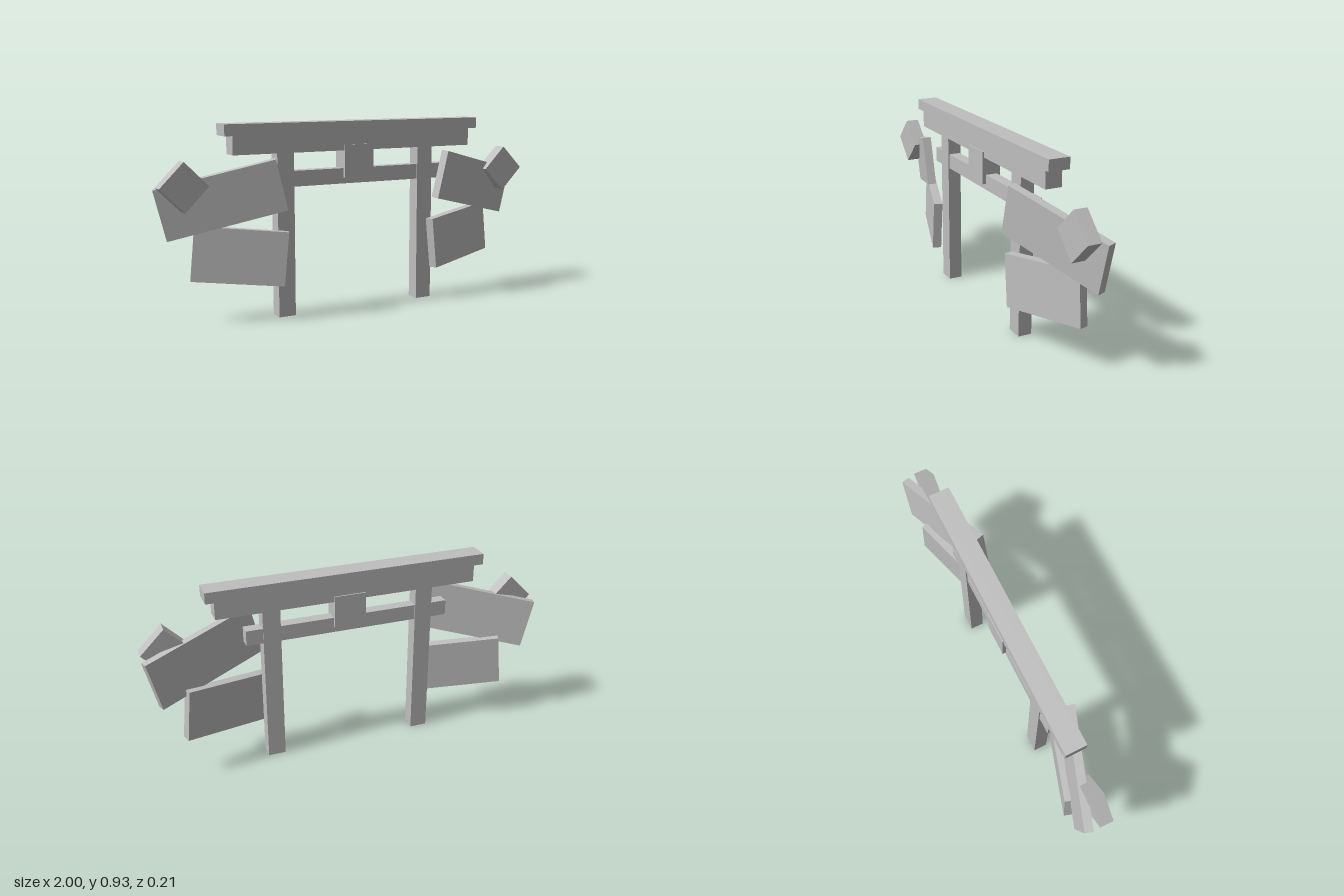
import * as THREE from 'three';

const stone = new THREE.MeshStandardMaterial({ color: 0xbfbfbf });
stone.name = 'plain grey';

// Box given by its size and centre
function block(name, [w, h, d], [x, y, z]) {
  const mesh = new THREE.Mesh(new THREE.BoxGeometry(w, h, d), stone);
  mesh.name = name;
  mesh.position.set(x, y, z);
  return mesh;
}

export function createModel() {
  const model = new THREE.Group();
  model.name = 'gateWithPanels';
  const gateZ = -0.0135;

  // Gate beams and centre plaque
  model.add(
    block('topBeam', [1.384, 0.054, 0.104], [0, 0.902, gateZ]),
    block('lintel', [1.3, 0.088, 0.081], [0, 0.831, gateZ]),
    block('tieBeam', [1.02, 0.075, 0.058], [0, 0.6625, gateZ]),
    block('plaque', [0.157, 0.16, 0.094], [0, 0.735, gateZ]),
  );

  for (const side of [1, -1]) {
    const name = side > 0 ? 'left' : 'right';

    // Post
    model.add(block(name + 'Post', [0.086, 0.787, 0.069], [side * 0.386, 0.3935, gateZ]));

    // Side panels: swept back, then tilted in the front plane
    const upper = block(name + 'UpperPanel', [0.568, 0.245, 0.042], [side * 0.7, 0.585, 0.0015]);
    upper.rotation.set(0, side * 0.31, side * -0.243, 'ZYX');
    const lower = block(name + 'LowerPanel', [0.438, 0.258, 0.045], [side * 0.6135, 0.313, -0.006]);
    lower.rotation.set(0, side * 0.313, side * 0.1, 'ZYX');

    // Diamond block at the panel tip
    const diamond = block(name + 'Diamond', [0.163, 0.163, 0.067], [side * 0.881, 0.654, 0]);
    diamond.rotation.z = Math.PI / 4;

    model.add(upper, lower, diamond);
  }
  return model;
}
